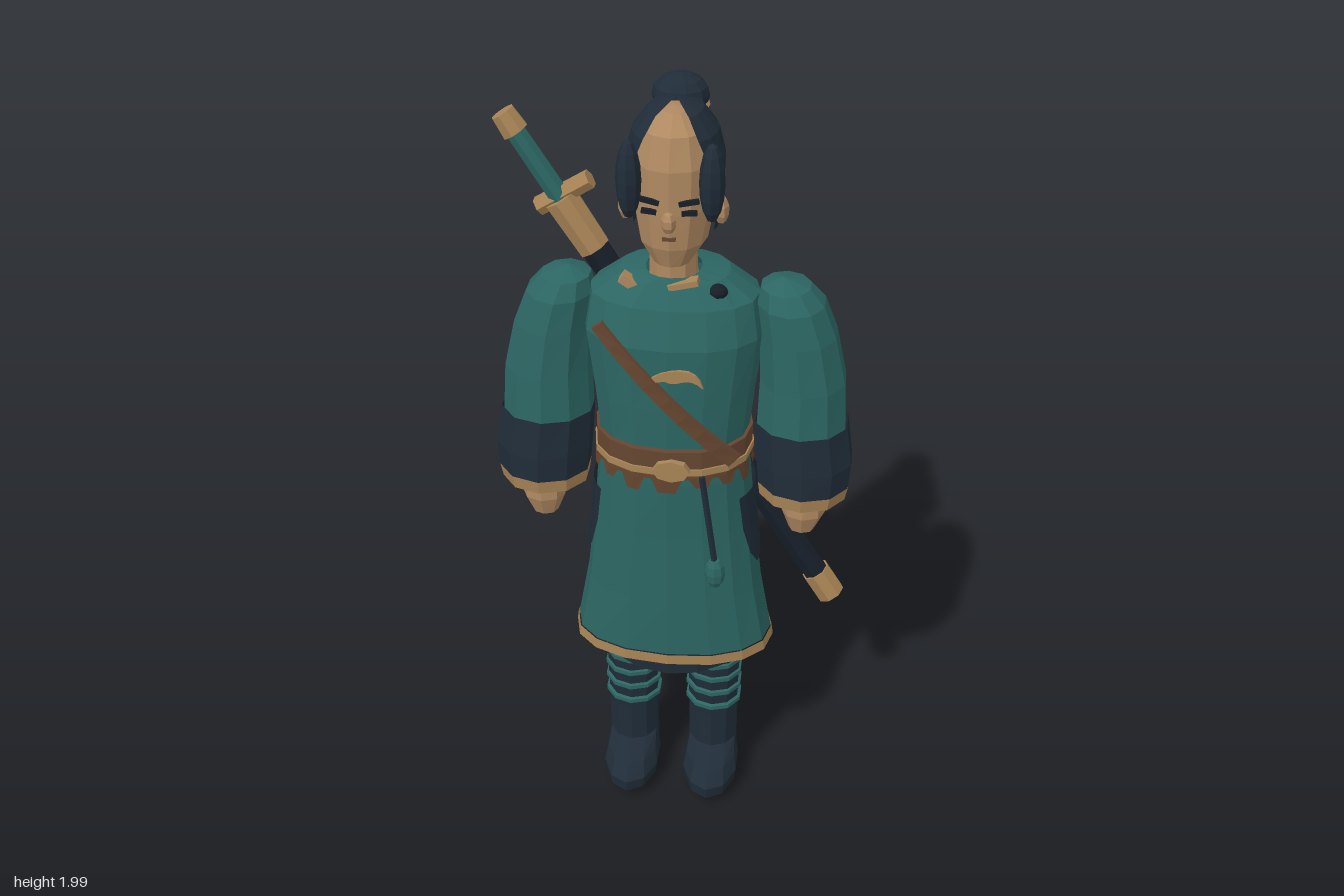
import * as THREE from 'three';

const mat = (name, color) => Object.assign(
  new THREE.MeshStandardMaterial({ color, side: THREE.DoubleSide }), { name });
const teal = mat('teal cloth', 0x2c6663);
const navy = mat('navy cloth and hair', 0x202c38);
const black = mat('black lacquer', 0x171e28);
const brown = mat('brown leather', 0x664630);
const tan = mat('tan trim', 0xa98556);
const skin = mat('skin', 0xae8860);

export function createModel() {
  const model = new THREE.Group();
  model.name = 'swordsman';

  // Adds a faceted mesh
  const add = (name, geo, material, parent = model) => {
    const g = geo.index ? geo.toNonIndexed() : geo;
    g.computeVertexNormals();
    const mesh = new THREE.Mesh(g, material);
    mesh.name = name;
    parent.add(mesh);
    return mesh;
  };

  // Rounded cross-sections from bottom to top: [y, rx, rz, cx, cz, startAngle, endAngle]; angle 0 is the front
  const loft = (rows, sides = 14, power = 1) => {
    const pos = [], idx = [];
    const bend = v => Math.sign(v) * Math.abs(v) ** power;
    for (const [y, rx, rz, cx = 0, cz = 0, a0 = 0, a1 = Math.PI * 2] of rows)
      for (let j = 0; j <= sides; j++) {
        const a = a0 + (a1 - a0) * j / sides;
        pos.push(cx + rx * bend(Math.sin(a)), y, cz + rz * bend(Math.cos(a)));
      }
    for (let i = 0; i < rows.length - 1; i++)
      for (let j = 0; j < sides; j++) {
        const a = i * (sides + 1) + j, b = a + sides + 1;
        idx.push(a, a + 1, b + 1, a, b + 1, b);
      }
    const g = new THREE.BufferGeometry();
    g.setAttribute('position', new THREE.Float32BufferAttribute(pos, 3));
    g.setIndex(idx);
    return g;
  };
  const ball = (name, m, [x, y, z], [rx, ry, rz], w = 8, h = 6) =>
    add(name, new THREE.SphereGeometry(1, w, h).scale(rx, ry, rz), m).position.set(x, y, z);
  const rod = (name, m, a, b, r0, r1 = r0, sides = 8) => {
    const p = new THREE.Vector3(...a), q = new THREE.Vector3(...b), d = q.clone().sub(p);
    const mesh = add(name, new THREE.CylinderGeometry(r1, r0, d.length(), sides), m);
    mesh.position.copy(p).lerp(q, 0.5);
    mesh.quaternion.setFromUnitVectors(new THREE.Vector3(0, 1, 0), d.normalize());
  };
  const plate = (name, m, [x, y, z], [w, h, d], tilt = 0) => {
    const mesh = add(name, new THREE.BoxGeometry(w, h, d), m);
    mesh.position.set(x, y, z);
    mesh.rotation.z = tilt;
  };

  // Robe, hem and underskirt
  add('robe', loft([
    [0.53, 0.257, 0.155, 0, 0.01], [0.7, 0.226, 0.154, 0, 0.01], [0.9, 0.203, 0.15, 0, 0.012],
    [1.06, 0.19, 0.147, 0, 0.015], [1.14, 0.183, 0.143, 0, 0.015], [1.27, 0.195, 0.147, 0, 0.012],
    [1.43, 0.215, 0.148, 0, 0.01], [1.52, 0.2, 0.128, 0, 0.002], [1.57, 0.13, 0.1, 0, 0],
    [1.585, 0.065, 0.07, 0, 0.02]], 16, 0.88), teal);
  add('robeHem', loft([[0.5, 0.264, 0.16, 0, 0.01], [0.53, 0.26, 0.16, 0, 0.01]], 16, 0.88), tan);
  add('underskirt', loft([[0.44, 0, 0], [0.44, 0.175, 0.14], [0.56, 0.175, 0.14]]), navy);

  // Belt with buckle and hanging scraps
  const belt = (name, m, y0, y1, r) =>
    add(name, loft([[y0, 0.18, 0.14, 0, 0.015], [y0, r, r - 0.035, 0, 0.015],
      [y1, r, r - 0.035, 0, 0.015], [y1, 0.18, 0.14, 0, 0.015]], 16, 0.88), m);
  belt('belt', brown, 1.085, 1.165, 0.193);
  belt('beltCord', tan, 1.1, 1.118, 0.197);
  for (let i = 0; i < 16; i++) {
    const a = i / 16 * Math.PI * 2, w = 0.16;
    add('beltFringe', loft([[i % 3 ? 1.06 : 1.045, 0.197, 0.155, 0, 0.014, a - w * 0.5, a + w * 0.5],
      [1.09, 0.194, 0.157, 0, 0.015, a - w, a + w]], 2, 0.88), brown);
  }
  add('buckle', new THREE.CylinderGeometry(0.045, 0.045, 0.02, 8).rotateX(Math.PI / 2)
    .scale(1, 0.65, 1), tan).position.set(0.012, 1.118, 0.175);

  // Chest strap curved over the robe
  const strap = new THREE.BoxGeometry(0.475, 0.034, 0.014, 8, 1, 1).rotateZ(-0.82);
  const sp = strap.attributes.position;
  for (let i = 0; i < sp.count; i++) sp.setZ(i, sp.getZ(i) + 0.166 - 1.4 * sp.getX(i) ** 2);
  add('chestStrap', strap, brown).position.set(-0.003, 1.302, 0);

  // Chest emblem
  const wing = new THREE.Shape();
  wing.moveTo(-0.05, 1.345);
  wing.quadraticCurveTo(-0.02, 1.385, 0.03, 1.385);
  wing.quadraticCurveTo(0.075, 1.385, 0.085, 1.34);
  wing.quadraticCurveTo(0.06, 1.365, 0.035, 1.355);
  wing.quadraticCurveTo(0.01, 1.345, -0.005, 1.355);
  wing.lineTo(-0.05, 1.345);
  add('chestEmblem', new THREE.ExtrudeGeometry(wing, { depth: 0.009, bevelEnabled: false, curveSegments: 4 }), tan)
    .position.z = 0.153;

  // Collar flap and button
  plate('collarFlap', skin, [-0.09, 1.56, 0.075], [0.06, 0.022, 0.03], -0.6);
  plate('collarFlap', tan, [0.03, 1.574, 0.09], [0.07, 0.014, 0.03], 0.25);
  ball('collarButton', black, [0.107, 1.552, 0.078], [0.024, 0.018, 0.02]);

  // Belt pendant
  rod('pendantCord', navy, [0.085, 1.1, 0.168], [0.118, 0.85, 0.165], 0.008, 0.008, 5);
  ball('pendant', teal, [0.12, 0.81, 0.163], [0.026, 0.046, 0.022]);

  for (const s of [1, -1]) {
    // Hip panels
    const c = s * Math.PI / 2;
    const panel = (y, rx, w) => [y, rx, 0.158, 0, 0.012, c - w, c + w];
    add('hipPanel', loft([panel(0.77, 0.222, 0.2), panel(0.82, 0.219, 0.42),
      panel(0.9, 0.21, 0.54), panel(1, 0.203, 0.6)], 6, 0.88), navy);

    // Sleeve, cuff, cuff trim and hand
    add('sleeve', loft([
      [1.18, 0.112, 0.105, s * 0.31, 0.015], [1.3, 0.106, 0.107, s * 0.308, 0.005],
      [1.42, 0.094, 0.104, s * 0.292, 0], [1.5, 0.082, 0.093, s * 0.272, 0],
      [1.54, 0.06, 0.068, s * 0.258, 0], [1.56, 0, 0, s * 0.25, 0]], 10), teal);
    add('cuff', loft([[1.02, 0.115, 0.106, s * 0.323, 0.03], [1.09, 0.121, 0.108, s * 0.322, 0.027],
      [1.19, 0.116, 0.107, s * 0.311, 0.017]], 10), navy);
    add('cuffTrim', loft([[0.99, 0.11, 0.102, s * 0.322, 0.031], [1.025, 0.116, 0.107, s * 0.323, 0.03]], 10), tan);
    add('hand', loft([[0.885, 0, 0, s * 0.325, 0.052], [0.89, 0.032, 0.028, s * 0.325, 0.052],
      [0.94, 0.054, 0.046, s * 0.327, 0.05], [0.99, 0.055, 0.046, s * 0.327, 0.048],
      [1.1, 0.04, 0.04, s * 0.323, 0.03]], 8), skin);

    // Leg, wrappings and boot
    add('leg', loft([[0.06, 0.068, 0.068, s * 0.11, 0.02], [0.25, 0.068, 0.066, s * 0.11, 0.02],
      [0.5, 0.074, 0.07, s * 0.11, 0.02]], 10), navy);
    for (const y of [0.285, 0.335, 0.383, 0.428])
      add('legWrap', loft([[y - 0.01, 0.068, 0.065, s * 0.11, 0.02], [y - 0.006, 0.077, 0.074, s * 0.11, 0.02],
        [y + 0.006, 0.077, 0.074, s * 0.11, 0.02], [y + 0.01, 0.068, 0.065, s * 0.11, 0.02]], 10), teal);
    add('boot', loft([[0.008, 0, 0, s * 0.11, 0.075], [0.012, 0.042, 0.09, s * 0.11, 0.075],
      [0.045, 0.072, 0.12, s * 0.11, 0.075], [0.08, 0.077, 0.126, s * 0.11, 0.073],
      [0.115, 0.069, 0.105, s * 0.11, 0.058], [0.145, 0.066, 0.07, s * 0.11, 0.022]], 10), navy);

    // Ear, side lock, eye and brow
    ball('ear', skin, [s * 0.108, 1.735, 0.035], [0.018, 0.034, 0.024], 6, 5);
    ball('sideLock', navy, [s * 0.092, 1.822, 0.092], [0.029, 0.092, 0.036], 8, 8);
    plate('eye', black, [s * 0.045, 1.758, 0.112], [0.034, 0.011, 0.009], s * 0.1);
    plate('eyebrow', black, [s * 0.044, 1.783, 0.113], [0.045, 0.011, 0.009], s * 0.22);
  }

  // Neck, head and face
  add('neck', loft([[1.53, 0.07, 0.07, 0, 0.025], [1.58, 0.056, 0.06, 0, 0.03], [1.66, 0.056, 0.058, 0, 0.03]], 10), skin);
  add('head', loft([
    [1.615, 0, 0, 0, 0.045], [1.617, 0.045, 0.055, 0, 0.045], [1.665, 0.078, 0.085, 0, 0.03],
    [1.75, 0.094, 0.102, 0, 0.018], [1.85, 0.096, 0.105, 0, 0.012], [1.92, 0.078, 0.088, 0, 0.005],
    [1.955, 0.03, 0.04, 0, 0], [1.96, 0, 0]], 12), skin);
  ball('nose', skin, [0, 1.737, 0.123], [0.018, 0.026, 0.02], 6, 5);
  plate('mouth', brown, [0, 1.695, 0.117], [0.03, 0.007, 0.009]);

  // Hair, open over the forehead
  const hairRow = (y, rx, rz, cz, gap) => [y, rx, rz, 0, cz, gap, Math.PI * 2 - gap];
  add('hair', loft([
    hairRow(1.675, 0.096, 0.098, -0.012, 1.25), hairRow(1.75, 0.108, 0.108, -0.004, 1.1),
    hairRow(1.85, 0.113, 0.118, 0, 0.85), hairRow(1.91, 0.097, 0.112, -0.004, 0.68),
    hairRow(1.955, 0.062, 0.08, -0.008, 0.62), hairRow(1.975, 0, 0, -0.015, 0.6)], 14), navy);

  // Topknot, band and ponytail
  ball('topknot', navy, [0, 1.95, -0.094], [0.066, 0.05, 0.062], 10, 8);
  add('topknotBand', new THREE.TorusGeometry(0.06, 0.007, 5, 12).rotateX(Math.PI / 2 + 0.2), tan)
    .position.set(0, 1.928, -0.094);
  add('ponytail', loft([
    [1.24, 0.004, 0.004, -0.07, -0.188], [1.32, 0.026, 0.018, -0.066, -0.178],
    [1.45, 0.038, 0.025, -0.055, -0.165], [1.62, 0.042, 0.03, -0.035, -0.148],
    [1.8, 0.042, 0.03, -0.012, -0.132], [1.92, 0.03, 0.03, 0, -0.12]], 8), navy);

  // Sheathed sword across the back; t runs from pommel to tip
  const at = t => [-0.425 + 0.835 * t, 1.86 - 1.325 * t, -0.16 + 0.022 * t];
  const part = (name, m, t0, t1, r0, r1) => rod(name, m, at(t0), at(t1), r0, r1);
  part('pommel', tan, 0, 0.035, 0.03, 0.034);
  part('grip', teal, 0.03, 0.165, 0.025, 0.027);
  part('swordCollar', tan, 0.155, 0.25, 0.044, 0.041);
  part('scabbard', black, 0.24, 0.96, 0.037, 0.034);
  part('scabbardTip', tan, 0.945, 1, 0.039, 0.039);
  rod('crossguard', tan, [-0.35, 1.628, -0.157], [-0.222, 1.706, -0.157], 0.024, 0.024, 6);
  return model;
}
